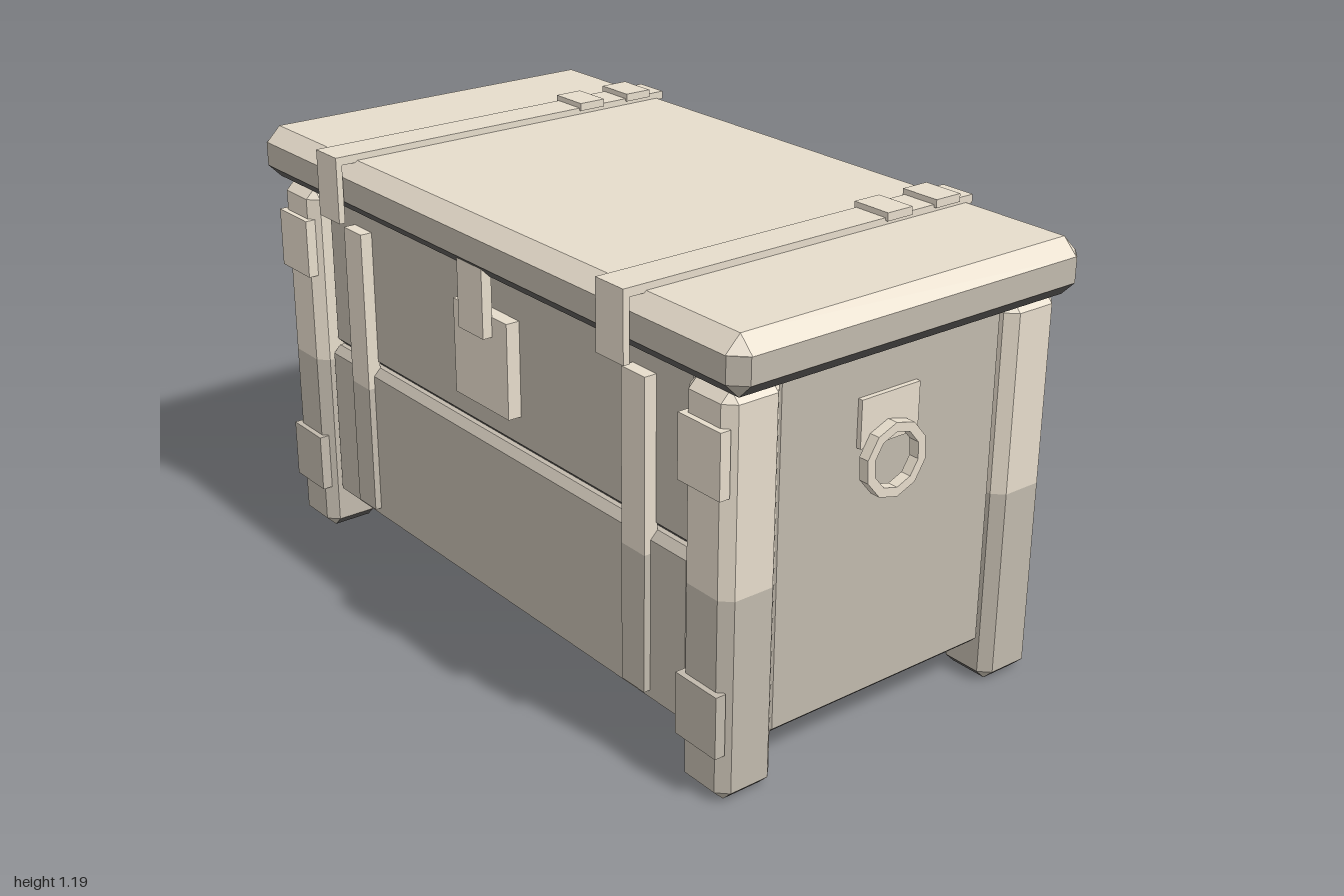
import * as THREE from 'three';
import { ConvexGeometry } from 'three/addons/geometries/ConvexGeometry.js';

const material = (name, color) => {
  const m = new THREE.MeshStandardMaterial({ color });
  m.name = name;
  return m;
};
const light = material('paleWood', 0xe6dccb);
const mid = material('greyWood', 0xc1b9ac);
const dark = material('darkUnderside', 0x5f5d5a);

// Block with bevelled edges; the bottom or top rim may be left square for stacking.
function bevelled([x0, x1], [y0, y1], [z0, z1], b, bottom = true, top = true) {
  const pts = [];
  const ring = (y) => {
    for (const [x, sx] of [[x0, 1], [x1, -1]])
      for (const [z, sz] of [[z0, 1], [z1, -1]])
        pts.push(new THREE.Vector3(x + sx * b, y, z), new THREE.Vector3(x, y, z + sz * b));
  };
  const cap = (y) => {
    for (const x of [x0 + b, x1 - b])
      for (const z of [z0 + b, z1 - b]) pts.push(new THREE.Vector3(x, y, z));
  };
  ring(bottom ? y0 + b : y0);
  if (bottom) cap(y0);
  ring(top ? y1 - b : y1);
  if (top) cap(y1);
  return new ConvexGeometry(pts);
}

function box([x0, x1], [y0, y1], [z0, z1]) {
  return new THREE.BoxGeometry(x1 - x0, y1 - y0, z1 - z0)
    .translate((x0 + x1) / 2, (y0 + y1) / 2, (z0 + z1) / 2);
}

// Flat ten-sided ring in the yz plane
function flatRing(outer, inner, depth) {
  const corners = (r) => Array.from({ length: 10 }, (_, i) => {
    const a = Math.PI / 2 + 0.07 + (i * Math.PI) / 5;
    return new THREE.Vector2(r * Math.cos(a), r * Math.sin(a));
  });
  const shape = new THREE.Shape(corners(outer));
  shape.holes.push(new THREE.Path(corners(inner)));
  return new THREE.ExtrudeGeometry(shape, { depth, bevelEnabled: false })
    .translate(0, 0, -depth / 2).rotateY(Math.PI / 2);
}

export function createModel() {
  const chest = new THREE.Group();
  chest.name = 'chest';

  // Adds a part whose downward faces take the dark colour
  const add = (name, source, colour) => {
    const geometry = source.index ? source.toNonIndexed() : source;
    geometry.clearGroups();
    const normal = geometry.attributes.normal;
    for (let i = 0; i < normal.count; i += 3)
      geometry.addGroup(i, 3, normal.getY(i) < -0.65 ? 1 : 0);
    const mesh = new THREE.Mesh(geometry, [colour, dark]);
    mesh.name = name;
    chest.add(mesh);
    return mesh;
  };
  const span = (s, a, b) => (s > 0 ? [a, b] : [-b, -a]);

  // Lid with a wide bevel all round
  add('lidRim', bevelled([-1, 1], [1.013, 1.115], [-0.54, 0.52], 0.037, true, false), mid);
  add('lidTop', bevelled([-1, 1], [1.115, 1.155], [-0.54, 0.52], 0.04, false, true), light);

  // Walls, open underneath
  add('frontLowerPlank', bevelled([-0.79, 0.79], [0.11, 0.565], [0.4, 0.46], 0.02), mid);
  add('frontUpperPlank', bevelled([-0.79, 0.79], [0.565, 1.01], [0.385, 0.445], 0.02), mid);
  add('backPanel', bevelled([-0.79, 0.79], [0.11, 1.01], [-0.49, -0.43], 0.02), mid);

  for (const s of [1, -1]) {
    const side = s > 0 ? 'left' : 'right';
    add(side + 'Panel', bevelled(span(s, 0.855, 0.915), [0.11, 1.01], [-0.365, 0.335], 0.015), mid);

    // Corner posts, two-tone with dark feet
    for (const [place, z] of [['Front', [0.33, 0.493]], ['Back', [-0.522, -0.36]]]) {
      const x = span(s, 0.785, 0.945);
      add(side + place + 'PostLower', bevelled(x, [0, 0.52], z, 0.027, true, false), mid);
      add(side + place + 'PostUpper', bevelled(x, [0.52, 1.012], z, 0.027, false, true), light);
    }

    // Plates on the front posts
    add(side + 'UpperPostPlate', box(span(s, 0.795, 0.937), [0.77, 0.93], [0.48, 0.508]), light);
    add(side + 'LowerPostPlate', box(span(s, 0.795, 0.937), [0.13, 0.29], [0.48, 0.508]), mid);

    // Straps on the front and over the lid
    add(side + 'FrontStrapLower', box(span(s, 0.558, 0.643), [0.15, 0.51], [0.44, 0.478]), mid);
    add(side + 'FrontStrapUpper', box(span(s, 0.558, 0.643), [0.51, 0.95], [0.44, 0.478]), light);
    add(side + 'LidStrap', box(span(s, 0.551, 0.65), [1.15, 1.172], [-0.522, 0.542]), light);
    add(side + 'LidStrapEnd', box(span(s, 0.551, 0.65), [0.995, 1.15], [0.525, 0.542]), light);
    for (const z of [-0.27, -0.43])
      add(side + 'StrapBuckle', box(span(s, 0.545, 0.658), [1.165, 1.186], [z - 0.04, z + 0.04]), light);

    // Ring handle on its plate
    add(side + 'HandlePlate', box(span(s, 0.91, 0.928), [0.77, 0.89], [-0.087, 0.092]), light);
    const ring = add(side + 'HandleRing', flatRing(0.094, 0.07, 0.028), light);
    ring.position.set(s * 0.942, 0.73, 0.003);
  }

  // Lock plate and hasp
  add('lockPlate', box([-0.115, 0.115], [0.66, 0.91], [0.43, 0.482]), light);
  add('hasp', box([-0.053, 0.053], [0.858, 1.042], [0.48, 0.508]), light);

  return chest;
}
